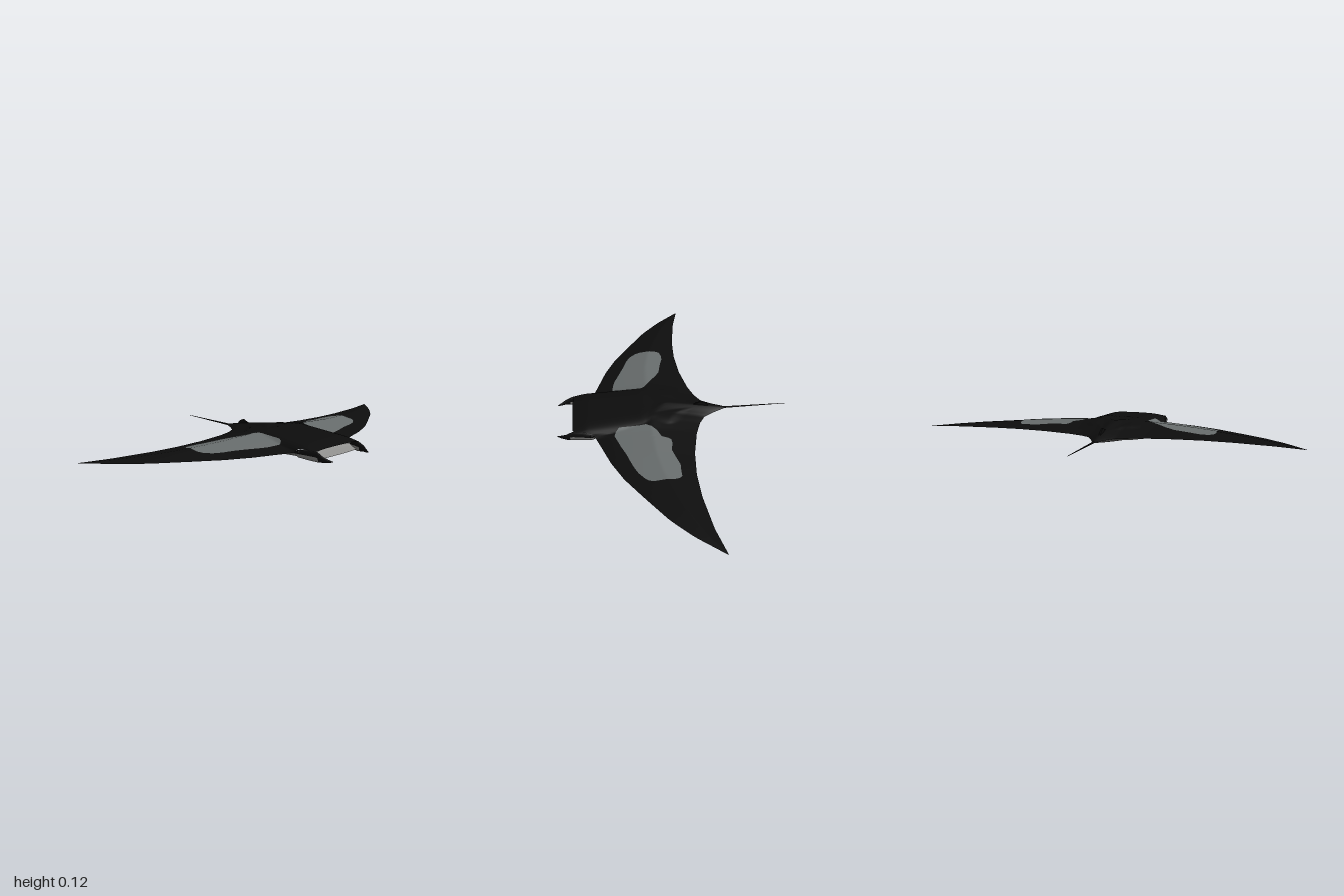
import * as THREE from 'three';

const MID = 0.055;
const mat = (name, color, side = THREE.FrontSide) => {
  const m = new THREE.MeshStandardMaterial({ color, side });
  m.name = name;
  return m;
};

// linear lookup in a [key, value] table
function lerp(table, k) {
  if (k <= table[0][0]) return table[0][1];
  for (let i = 1; i < table.length; i++) {
    const [k0, v0] = table[i - 1], [k1, v1] = table[i];
    if (k <= k1) return v0 + (v1 - v0) * (k - k0) / (k1 - k0);
  }
  return table[table.length - 1][1];
}

// plan outline: x of the wing edges by distance from the centre line
const WING = [[0, 0.45], [0.18, 0.41], [0.25, 0.385], [0.38, 0.34], [0.5, 0.283], [0.63, 0.2],
  [0.78, 0.1], [0.89, 0.003], [1, -0.12]];
const HEAD = [[0, 0.52], [0.14, 0.52], [0.155, 0.505], [0.17, 0.43], [0.18, 0.41]];
const TRAIL = [[0, -0.28], [0.01, -0.262], [0.04, -0.2], [0.07, -0.152], [0.12, -0.122], [0.2, -0.095],
  [0.35, -0.066], [0.5, -0.055], [0.65, -0.06], [0.85, -0.086], [1, -0.122]];
// thickness above and below the middle plane
const SPAN = [[0, 0.06], [0.1, 0.056], [0.2, 0.043], [0.5, 0.026], [1, 0.0005]];
const BACK = [[-0.28, 0.003], [-0.2, 0.012], [-0.1, 0.028], [0.16, 0.062], [0.45, 0.042], [0.52, 0.025]];
const BELLY = [[-0.28, 0.002], [-0.1, 0.022], [0.16, 0.055], [0.4, 0.032], [0.52, 0.022]];
const front = z => Math.abs(z) < 0.18 ? lerp(HEAD, Math.abs(z)) : lerp(WING, Math.abs(z));
const trail = z => lerp(TRAIL, Math.abs(z));

function thickness(x, z, profile) {
  const a = Math.abs(z), t = trail(a);
  const u = THREE.MathUtils.clamp((x - t) / (lerp(WING, a) - t), 0, 1);
  const wing = lerp(SPAN, a) * (u < 0.45 ? (u / 0.45) ** 0.9 : ((1 - u) / 0.55) ** 0.85);
  const body = lerp(profile, x) * Math.sqrt(Math.max(0, 1 - (a / 0.18) ** 4)) * Math.min(1, Math.max(0, (x - t) / 0.15));
  return Math.max(body, wing * (profile === BELLY ? 0.9 : 1));
}
const topY = (x, z) => MID + thickness(x, z, BACK);
const bottomY = (x, z) => MID - thickness(x, z, BELLY);

// surface through a grid of points given by point(row, column)
function grid(rows, cols, point, flip = false) {
  const pos = [], idx = [];
  for (let i = 0; i <= rows; i++) for (let j = 0; j <= cols; j++) pos.push(...point(i, j));
  for (let i = 0; i < rows; i++) for (let j = 0; j < cols; j++) {
    const a = i * (cols + 1) + j, b = a + 1, c = a + cols + 1, d = c + 1;
    idx.push(...(flip ? [a, b, c, b, d, c] : [a, c, b, b, c, d]));
  }
  const g = new THREE.BufferGeometry();
  g.setAttribute('position', new THREE.Float32BufferAttribute(pos, 3));
  g.setIndex(idx);
  g.computeVertexNormals();
  return g;
}

// skin draped over the body between two x edges at each z
const drape = (zs, x0, x1, cols, yFn, lift, flip) => grid(zs.length - 1, cols, (i, j) => {
  const z = zs[i], x = x0(z) + (x1(z) - x0(z)) * j / cols;
  return [x, yFn(x, z) + lift, z];
}, flip);

const steps = (a, b, n) => Array.from({ length: n + 1 }, (_, i) => a + (b - a) * i / n);

export function createModel() {
  const model = new THREE.Group();
  const black = mat('black skin', 0x0d0d0d);
  const blackThin = mat('black thin parts', 0x0d0d0d, THREE.DoubleSide);
  const grey = mat('shoulder grey', 0x686d6d);
  const pale = mat('pale belly', 0x929290);
  const paleThin = mat('pale mouth', 0x929290, THREE.DoubleSide);
  const dusk = mat('dark grey markings', 0x4c4c4c);
  const add = (name, geometry, material) => {
    const m = new THREE.Mesh(geometry, material);
    m.name = name;
    model.add(m);
    return m;
  };

  // back and belly skins
  const half = [...steps(0, 0.14, 14), 0.148, 0.155, 0.162, 0.17, 0.175, 0.18, ...steps(0.2, 0.8, 20)];
  const inner = [...half.slice(1).reverse().map(z => -z), ...half];
  const tip = steps(0.8, 1, 10), tipR = tip.map(z => -z).reverse();
  add('back', drape([...tipR.slice(0, -1), ...inner, ...tip.slice(1)], trail, front, 44, topY, 0, false), black);
  add('belly', drape(inner, trail, front, 44, bottomY, 0, true), pale);
  add('leftWingTipUnderside', drape(tipR, trail, front, 20, bottomY, 0, true), dusk);
  add('rightWingTipUnderside', drape(tip, trail, front, 20, bottomY, 0, true), dusk);

  // shoulder patches: [z, back x, front x]
  const patches = [
    ['nearShoulderPatch', [[0.15, 0.16, 0.28], [0.157, 0.143, 0.3], [0.175, 0.13, 0.311], [0.24, 0.095, 0.302],
      [0.27, 0.075, 0.293], [0.32, 0.05, 0.272], [0.4, 0.035, 0.24], [0.46, 0.02, 0.22], [0.5, 0.02, 0.2],
      [0.53, 0.03, 0.165], [0.538, 0.05, 0.14]]],
    ['farShoulderPatch', [[-0.543, 0.055, 0.15], [-0.535, 0.03, 0.17], [-0.52, 0.015, 0.187], [-0.48, 0.016, 0.215],
      [-0.44, 0.014, 0.233], [-0.39, 0.03, 0.25], [-0.34, 0.045, 0.265], [-0.29, 0.037, 0.285], [-0.257, 0.04, 0.296],
      [-0.245, 0.085, 0.3], [-0.2, 0.105, 0.315], [-0.175, 0.13, 0.308], [-0.157, 0.155, 0.29]]]
  ];
  for (const [name, rows] of patches) {
    const zs = steps(rows[0][0], rows[rows.length - 1][0], 44);
    const back = rows.map(r => [r[0], r[1]]), fore = rows.map(r => [r[0], r[2]]);
    add(name, drape(zs, z => lerp(back, z), z => lerp(fore, z), 24, topY, 0.002, false), grey);
  }

  // small belly spots
  for (const [x, z, r] of [[0.25, 0.012, 0.02], [0.21, 0.155, 0.011]]) {
    const w = s => Math.sqrt(Math.max(0, r * r - (s - z) ** 2));
    add('bellySpot', drape(steps(z - r, z + r, 10), s => x - w(s), s => x + w(s), 4, bottomY, -0.002, true), dusk);
  }

  // open mouth narrowing into the throat
  const mouthZ = steps(-0.165, 0.165, 32);
  add('mouth', grid(32, 8, (i, j) => {
    const z = mouthZ[i], x = front(z), k = j / 8;
    const depth = 0.09 * Math.sqrt(Math.max(0, 1 - (z / 0.165) ** 2)) * Math.sin(Math.PI * k);
    return [x - depth, topY(x, z) * (1 - k) + bottomY(x, z) * k, z];
  }), paleThin);

  // head fins: [x, z, top, bottom, half thickness]
  const FIN = [[0.4, 0.162, 0.06, 0.04, 0.006], [0.425, 0.165, 0.07, 0.033, 0.011], [0.47, 0.158, 0.076, 0.029, 0.012],
    [0.52, 0.148, 0.075, 0.026, 0.01], [0.535, 0.148, 0.068, 0.027, 0.009], [0.555, 0.148, 0.059, 0.03, 0.007],
    [0.58, 0.137, 0.047, 0.032, 0.005], [0.6, 0.128, 0.04, 0.036, 0.002]];
  const finArc = (rows, from, to, s) => grid(rows.length - 1, 10, (i, j) => {
    const [x, z, t, b, w] = rows[i], a = from + (to - from) * j / 10;
    return [x, (t + b) / 2 + Math.sin(a) * (t - b) / 2, s * (z + Math.cos(a) * w)];
  });
  for (const [s, side] of [[1, 'right'], [-1, 'left']]) {
    add(side + 'HeadFinUpper', finArc(FIN, 0, Math.PI, s), blackThin);
    add(side + 'HeadFinLower', finArc(FIN.slice(0, 5), Math.PI, 2 * Math.PI, s), paleThin);
    add(side + 'HeadFinTip', finArc(FIN.slice(4), Math.PI, 2 * Math.PI, s), blackThin);
    const eye = add(side + 'Eye', new THREE.SphereGeometry(0.009, 12, 8), black);
    eye.position.set(0.428, 0.058, s * 0.17);
  }

  // dorsal fin
  const fin = new THREE.Shape();
  fin.moveTo(-0.22, 0.06);
  fin.quadraticCurveTo(-0.19, 0.072, -0.18, 0.076);
  fin.quadraticCurveTo(-0.165, 0.1, -0.138, 0.103);
  fin.quadraticCurveTo(-0.12, 0.092, -0.085, 0.086);
  fin.lineTo(-0.085, 0.07);
  fin.closePath();
  const finGeo = new THREE.ExtrudeGeometry(fin, { depth: 0.008, bevelEnabled: false, curveSegments: 6 });
  finGeo.translate(0, 0, -0.004);
  add('dorsalFin', finGeo, black);

  // whip tail
  const tail = add('tail', new THREE.CylinderGeometry(0.001, 0.005, 0.36, 10), black);
  tail.rotation.z = Math.PI / 2;
  tail.position.set(-0.42, MID, 0);
  return model;
}
